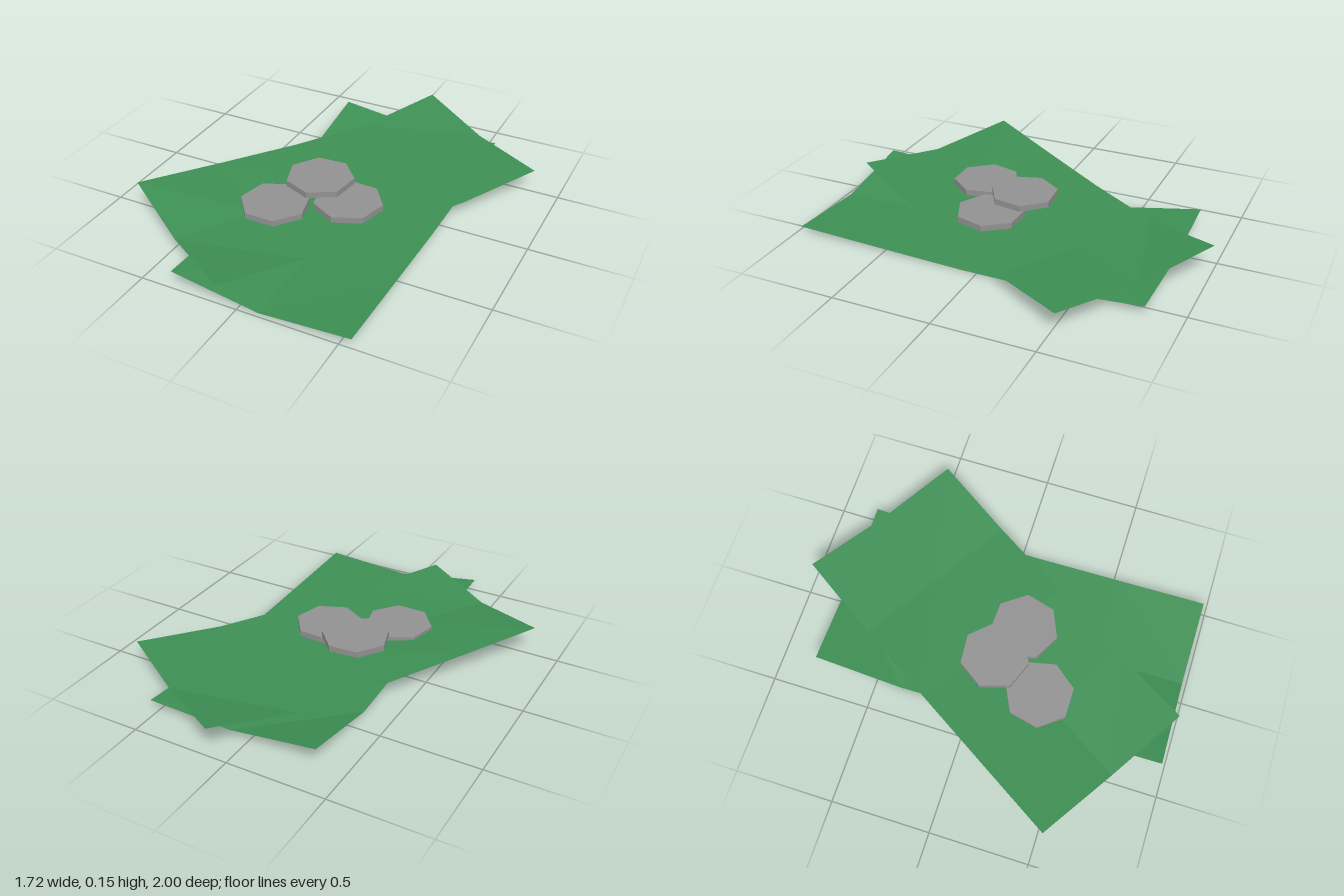
import * as THREE from 'three';

export function createModel() {
  const model = new THREE.Group();
  const paper = new THREE.MeshStandardMaterial({ color: 0x3d8f54, side: THREE.DoubleSide, flatShading: true });
  paper.name = 'note green';
  const metal = new THREE.MeshStandardMaterial({ color: 0x919191, flatShading: true });
  metal.name = 'coin grey';

  // Creased banknote: heights run left to right, in rows from back to front
  function note(name, x, z, turn, heights) {
    const geo = new THREE.PlaneGeometry(0.9, 1.8, 2, 4).rotateX(-Math.PI / 2);
    heights.flat().forEach((y, i) => geo.attributes.position.setY(i, y));
    geo.computeVertexNormals();
    const mesh = new THREE.Mesh(geo, paper);
    mesh.name = name;
    mesh.position.set(x, 0, z);
    mesh.rotation.y = turn;
    model.add(mesh);
  }

  note('lowerNote', 0.1, 0.08, 0, [
    [0.083, 0.025, 0.038],
    [0, 0, 0],
    [0.035, 0, 0],
    [0.053, 0, 0.014],
    [0.075, 0.002, 0.03],
  ]);
  note('upperNote', 0, 0, -0.561, [
    [0.15, 0.095, 0.11],
    [0.08, 0.07, 0.07],
    [0.088, 0.07, 0.07],
    [0.113, 0.07, 0.07],
    [0.142, 0.07, 0.1],
  ]);

  // Seven-sided coins: two side by side, one resting on top
  function coin(name, x, y, z, turn) {
    const mesh = new THREE.Mesh(new THREE.CylinderGeometry(0.175, 0.175, 0.032, 7), metal);
    mesh.name = name;
    mesh.position.set(x, y, z);
    mesh.rotation.y = turn;
    model.add(mesh);
  }
  coin('frontCoin', -0.197, 0.085, 0.308, Math.PI);
  coin('sideCoin', 0.12, 0.085, 0.135, -0.045);
  coin('topCoin', -0.085, 0.117, 0.042, 0.075);

  return model;
}
